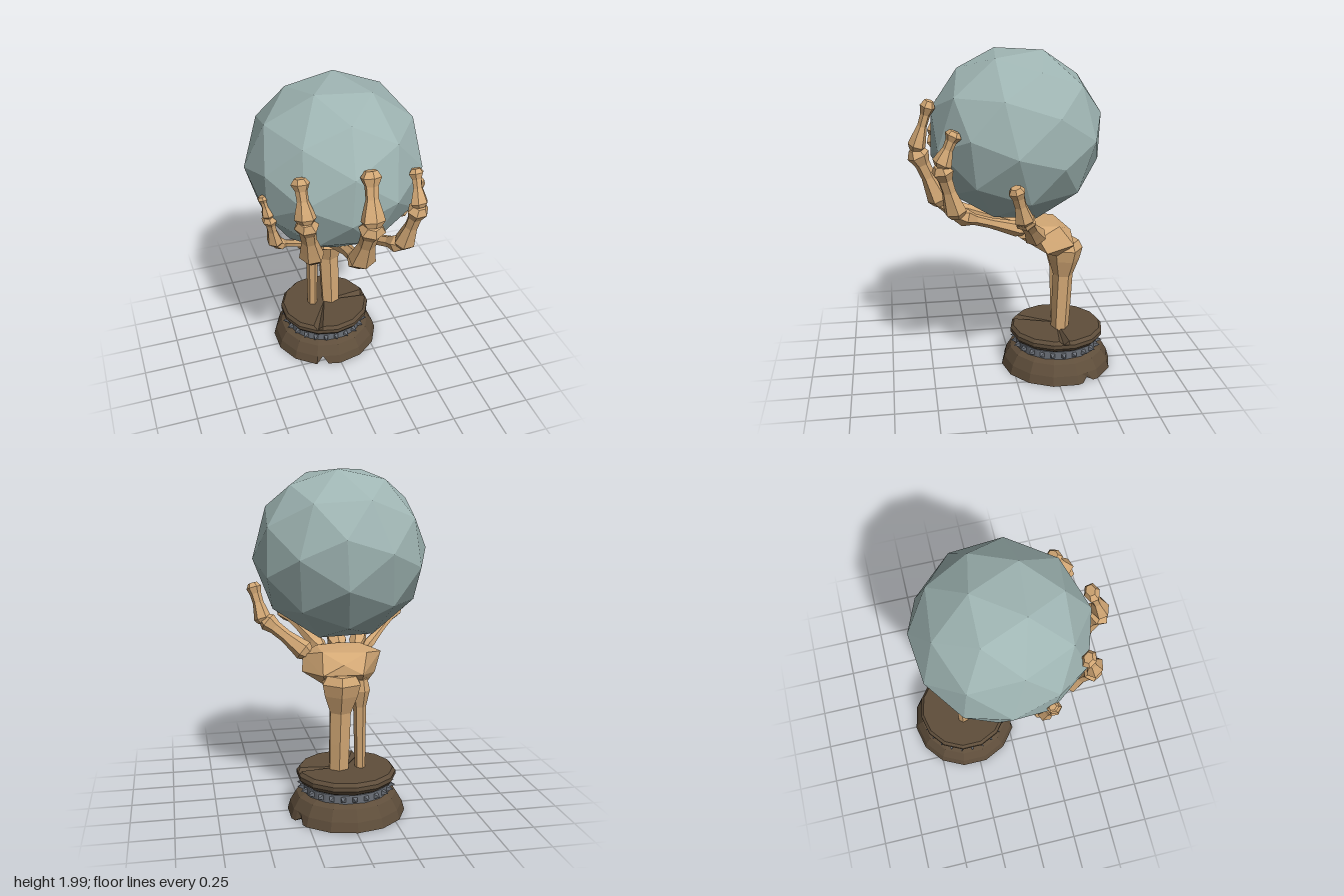
import * as THREE from 'three';
import { ConvexGeometry } from 'three/addons/geometries/ConvexGeometry.js';

const V = (x, y, z) => new THREE.Vector3(x, y, z);
const CENTRE = V(-0.02, 1.5, -0.025);

// Faceted normals
function facet(geo) {
  const g = geo.index ? geo.toNonIndexed() : geo;
  g.computeVertexNormals();
  return g;
}

export function createModel() {
  const root = new THREE.Group();
  root.name = 'orbHeldByBoneHand';
  const mat = (name, color) => Object.assign(new THREE.MeshStandardMaterial({ color }), { name });
  const bone = mat('bone', 0xd3a875);
  const glass = mat('paleOrb', 0x9fb5b3);
  const wood = mat('darkWood', 0x5f4e3b);
  const metal = mat('greyMetal', 0x6b7078);

  function add(parent, name, geo, material) {
    const mesh = new THREE.Mesh(facet(geo), material);
    mesh.name = name;
    parent.add(mesh);
    return mesh;
  }

  // Six-sided shaft from a to b; profile rows are [fraction, radius], facing away from the orb
  function shaft(parent, name, a, b, profile, depth = 1) {
    const axis = b.clone().sub(a);
    const len = axis.length();
    axis.normalize();
    const pts = profile.map(([t, r]) => new THREE.Vector2(r, t * len));
    pts.unshift(new THREE.Vector2(0, profile[0][0] * len));
    pts.push(new THREE.Vector2(0, profile[profile.length - 1][0] * len));
    const geo = new THREE.LatheGeometry(pts, 6);
    geo.scale(1, 1, depth);
    const out = a.clone().add(b).multiplyScalar(0.5).sub(CENTRE);
    out.addScaledVector(axis, -out.dot(axis)).normalize();
    geo.applyMatrix4(new THREE.Matrix4().makeBasis(axis.clone().cross(out), axis, out).setPosition(a));
    return add(parent, name, geo, bone);
  }

  // Knuckled finger bone profile
  const knuckled = (r0, rm, r1) => [
    [-0.02, r0 * 0.65], [0.09, r0], [0.24, r0 * 0.85], [0.5, rm], [0.74, rm * 1.05], [0.9, r1], [1.02, r1 * 0.6],
  ];

  // Orb: subdivided icosahedron resting with a face upwards
  const up = V(-1, 1, 1).normalize();
  const corner = V(0, 1, (1 + Math.sqrt(5)) / 2);
  corner.addScaledVector(up, -corner.dot(up)).normalize();
  const orbGeo = new THREE.IcosahedronGeometry(0.515, 1);
  orbGeo.applyMatrix4(new THREE.Matrix4().makeBasis(up.clone().cross(corner), up, corner).transpose());
  orbGeo.rotateY(-0.1).rotateX(0.06).rotateZ(-0.05);
  add(root, 'orb', orbGeo, glass).position.copy(CENTRE);

  // Pedestal: 14-sided turned shape, each side split so that small chips can be cut
  const SIDES = 14, SPLIT = 4;
  function turned(profile, chips) {
    const geo = new THREE.LatheGeometry(profile.map(([r, y]) => new THREE.Vector2(r, y)), SIDES * SPLIT);
    const p = geo.attributes.position;
    const step = (Math.PI * 2) / SIDES;
    for (let i = 0; i < p.count; i++) {
      const seg = Math.floor(i / profile.length) % (SIDES * SPLIT);
      const row = i % profile.length;
      const phi = ((seg % SPLIT) / SPLIT) * step - step / 2;
      let k = Math.cos(step / 2) / Math.cos(phi);
      let y = p.getY(i);
      for (const c of chips) {
        if (c.seg === seg && c.row === row) { k *= c.inset; y += c.lift; }
      }
      p.setXYZ(i, p.getX(i) * k, y, p.getZ(i) * k);
    }
    return geo;
  }
  const base = new THREE.Group();
  base.name = 'pedestal';
  base.position.set(-0.007, 0, -0.287);
  root.add(base);
  add(base, 'pedestalFoot', turned(
    [[0, 0], [0.348, 0], [0.332, 0.055], [0.295, 0.118], [0.255, 0.14], [0, 0.14]],
    [{ seg: 53, row: 1, lift: 0.05, inset: 0.93 }, { seg: 18, row: 1, lift: 0.025, inset: 0.95 }]), wood);
  add(base, 'pedestalTop', turned(
    [[0, 0.185], [0.25, 0.185], [0.275, 0.2], [0.292, 0.222], [0.292, 0.246], [0.275, 0.266], [0, 0.266]],
    [{ seg: 52, row: 5, lift: -0.03, inset: 0.97 }, { seg: 14, row: 5, lift: -0.03, inset: 0.97 }]), wood);

  // Studded collar
  add(base, 'collar', new THREE.CylinderGeometry(0.257, 0.257, 0.052, 28).translate(0, 0.161, 0), metal);
  const studs = new THREE.Group();
  studs.name = 'collarStuds';
  base.add(studs);
  for (let i = 0; i < 24; i++) {
    const a = (i / 24) * Math.PI * 2;
    const geo = new THREE.ConeGeometry(0.021, 0.038, 4).rotateY(Math.PI / 4).rotateX(Math.PI / 2);
    geo.translate(0, 0.161, 0.273).rotateY(a);
    add(studs, 'stud', geo, metal);
  }

  // Forearm: one thick and one thin bone
  const arm = new THREE.Group();
  arm.name = 'forearm';
  root.add(arm);
  shaft(arm, 'thickForearmBone', V(0.04, 0.25, -0.3), V(0.03, 0.84, -0.325),
    [[0, 0.062], [0.3, 0.066], [0.62, 0.068], [0.8, 0.108], [0.92, 0.125], [1, 0.095]], 0.9);
  shaft(arm, 'thinForearmBone', V(-0.088, 0.25, -0.3), V(-0.085, 0.8, -0.29),
    [[0, 0.03], [0.35, 0.033], [0.7, 0.036], [0.88, 0.058], [1, 0.045]], 1.2);

  // Palm: a faceted block sloping forward from the wrist, with a raised heel
  const hand = new THREE.Group();
  hand.name = 'hand';
  root.add(hand);
  add(hand, 'palm', new ConvexGeometry([
    V(-0.11, 0.73, -0.25), V(0.11, 0.76, -0.27), V(0.14, 0.84, -0.36), V(-0.09, 0.84, -0.37),
    V(0.02, 0.9, -0.36), V(-0.13, 0.95, -0.28), V(0.13, 0.96, -0.27), V(-0.2, 0.81, -0.19),
    V(-0.25, 0.92, -0.13), V(0.235, 0.83, -0.18), V(0.22, 0.92, -0.13), V(0.02, 0.78, -0.2),
    V(-0.14, 0.89, -0.04), V(0.11, 0.89, -0.04), V(-0.01, 0.88, -0.02), V(0, 0.97, -0.08),
    V(-0.13, 0.97, -0.11), V(0.14, 0.97, -0.12),
  ]), bone);

  // Fingers: palm root, knuckle, middle joint and tip, with a thickness for each
  const fingers = [
    { name: 'middleFinger', size: 1, path: [V(-0.01, 0.94, -0.04), V(-0.01, 1.1, 0.42), V(0.005, 1.43, 0.56), V(0.015, 1.71, 0.475)] },
    { name: 'rightFinger', size: 0.9, path: [V(-0.12, 0.94, -0.05), V(-0.265, 1.12, 0.33), V(-0.325, 1.44, 0.435), V(-0.335, 1.67, 0.37)] },
    { name: 'leftFinger', size: 0.9, path: [V(0.1, 0.94, -0.05), V(0.275, 1.11, 0.35), V(0.32, 1.41, 0.435), V(0.32, 1.6, 0.355)] },
    { name: 'smallFinger', size: 0.62, path: [V(-0.17, 0.93, -0.07), V(-0.425, 1.13, 0.14), V(-0.465, 1.34, 0.175), V(-0.49, 1.46, 0.15)] },
  ];
  for (const { name, size: s, path } of fingers) {
    const g = new THREE.Group();
    g.name = name;
    hand.add(g);
    const [root0, knuckle, joint, tip] = path;
    shaft(g, 'palmBone', root0, knuckle, knuckled(0.062 * s, 0.04 * s, 0.07 * s), 0.85);
    shaft(g, 'lowerFingerBone', knuckle, joint, knuckled(0.082 * s, 0.05 * s, 0.078 * s), 0.85);
    shaft(g, 'fingerTipBone', joint, tip, knuckled(0.07 * s, 0.037 * s, 0.06 * s), 0.75);
  }

  // Thumb: two short bones
  const thumb = new THREE.Group();
  thumb.name = 'thumb';
  hand.add(thumb);
  shaft(thumb, 'lowerThumbBone', V(0.19, 0.92, -0.12), V(0.435, 1.12, -0.01), knuckled(0.068, 0.043, 0.062), 0.9);
  shaft(thumb, 'thumbTipBone', V(0.435, 1.1, -0.015), V(0.49, 1.32, 0.045), knuckled(0.058, 0.036, 0.05), 0.9);

  return root;
}
